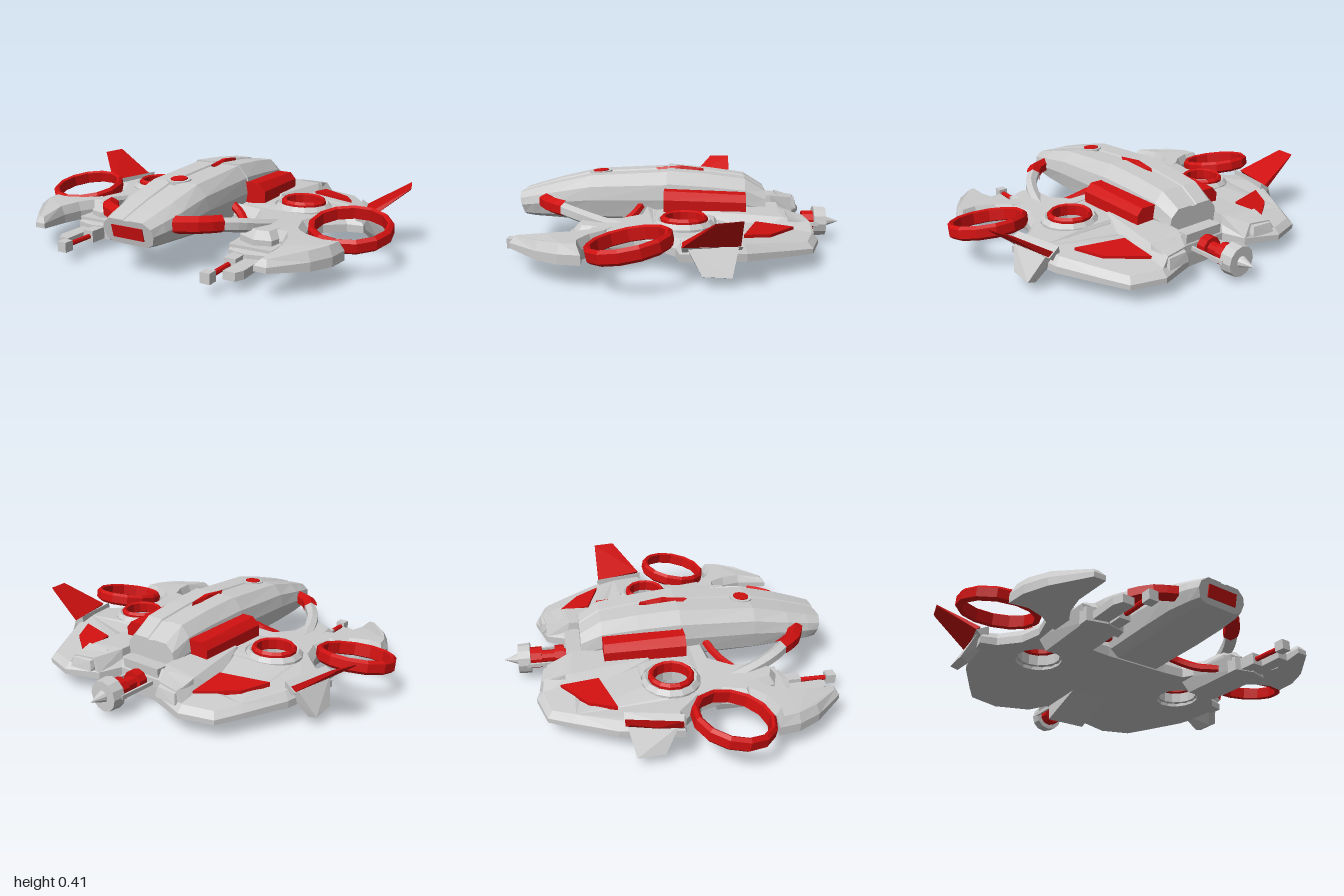
import * as THREE from 'three';
import { ConvexGeometry } from 'three/addons/geometries/ConvexGeometry.js';

const GREY = 0xcccccc, RED = 0xd01010;

export function createModel() {
  const model = new THREE.Group();
  const V = (x, y, z) => new THREE.Vector3(x, y, z);

  const add = (name, geo, color = GREY) => {
    if (geo.index) geo = geo.toNonIndexed();
    geo.computeVertexNormals();
    const mesh = new THREE.Mesh(geo, new THREE.MeshStandardMaterial({ color, flatShading: true }));
    mesh.name = name;
    model.add(mesh);
    return geo;
  };

  // Adds a part on the left and its mirror image on the right
  const pair = (name, geo, color) => {
    const m = add(name + 'Left', geo, color).clone().scale(-1, 1, 1);
    const a = m.attributes.position;
    for (let i = 0; i < a.count; i += 3) {
      const p = V().fromBufferAttribute(a, i + 1), q = V().fromBufferAttribute(a, i + 2);
      a.setXYZ(i + 1, q.x, q.y, q.z);
      a.setXYZ(i + 2, p.x, p.y, p.z);
    }
    add(name + 'Right', m, color);
  };

  const hull = (pts) => new ConvexGeometry(pts.map((p) => V(...p)));
  const box = (x0, x1, y0, y1, z0, z1) =>
    new THREE.BoxGeometry(x1 - x0, y1 - y0, z1 - z0).translate((x0 + x1) / 2, (y0 + y1) / 2, (z0 + z1) / 2);
  const rod = (r0, r1, z0, z1, x, y, n = 8) =>
    new THREE.CylinderGeometry(r1, r0, z1 - z0, n).rotateX(Math.PI / 2).translate(x, y, (z0 + z1) / 2);
  const tube = (pts, r, n = 10) =>
    new THREE.TubeGeometry(new THREE.CatmullRomCurve3(pts.map((p) => V(...p))), n, r, 6);
  const hoop = (ri, ro, h, n) => new THREE.LatheGeometry(
    [[ri, -h * 0.8], [(ri + ro) / 2, -h], [ro, -h * 0.6], [ro, h * 0.6], [(ri + ro) / 2, h], [ri, h * 0.8], [ri, -h * 0.8]]
      .map((p) => new THREE.Vector2(...p)), n);

  // Plan outline (x, z) raised between a bottom and a top surface, with a sloping rim
  const slab = (outline, holes, rim, bottom, top) => {
    const path = (pts) => pts.map(([x, z]) => new THREE.Vector2(x, -z));
    const shape = new THREE.Shape(path(outline));
    holes.forEach((h) => shape.holes.push(new THREE.Path(path(h))));
    const geo = new THREE.ExtrudeGeometry(shape, {
      depth: 0.5, bevelThickness: 0.5, bevelSize: rim, bevelOffset: -rim, bevelSegments: 1,
    }).rotateX(-Math.PI / 2);
    const a = geo.attributes.position;
    for (let i = 0; i < a.count; i++) {
      const x = Math.abs(a.getX(i)), z = a.getZ(i), t = Math.max(0, a.getY(i));
      a.setY(i, bottom(x, z) + t * (top(x, z) - bottom(x, z)));
    }
    return geo;
  };

  // Fuselage: cross-sections [z, half width, bottom, top, slant]
  const half = [[0.1, 0.97], [0.13, 1], [0.66, 1], [0.93, 0.78], [1, 0.5], [0.9, 0.14], [0.65, 0]];
  const ring = [...half, ...half.map(([u, v]) => [-u, v]).reverse()];
  const sections = [
    [-0.45, 0.155, 0.12, 0.295, 0], [-0.34, 0.17, 0.11, 0.362, 0], [-0.15, 0.18, 0.11, 0.387, 0],
    [0.07, 0.195, 0.12, 0.405, 0], [0.07, 0.188, 0.12, 0.398, 0], [0.47, 0.19, 0.135, 0.378, 0],
    [0.66, 0.182, 0.15, 0.335, 0], [0.78, 0.16, 0.155, 0.303, 0], [0.86, 0.14, 0.16, 0.28, 0.03],
  ];
  const pos = [], idx = [], n = ring.length;
  sections.forEach(([z, w, b, t, s], k) => {
    ring.forEach(([u, v]) => pos.push(u * w, b + v * (t - b), z + s * (v - 1)));
    for (let i = 0; k && i < n; i++) {
      const j = (i + 1) % n, p = (k - 1) * n, q = k * n;
      idx.push(p + i, q + i, q + j, p + i, q + j, p + j);
    }
  });
  const capTris = THREE.ShapeUtils.triangulateShape(
    ring.map(([u, v]) => new THREE.Vector2(u, v)).reverse(), []);
  const last = (sections.length - 1) * n;
  capTris.forEach(([a, b, c]) => {
    const [i, j, k] = [a, b, c].map((e) => n - 1 - e);
    idx.push(last + i, last + j, last + k, k, j, i);
  });
  const body = new THREE.BufferGeometry();
  body.setAttribute('position', new THREE.Float32BufferAttribute(pos, 3));
  body.setIndex(idx);
  add('fuselage', body);

  // Red trim on the fuselage
  add('nosePanel', hull([-0.085, 0.085].flatMap((x) => [[x, 0.19, 0.8], [x, 0.25, 0.8], [x, 0.19, 0.843], [x, 0.25, 0.858]])), RED);
  add('dorsalStrip', hull([[0, 0.37, -0.13], [0, 0.4, -0.12], [-0.018, 0.38, -0.04], [0.018, 0.38, -0.04],
    [-0.012, 0.412, 0], [0.012, 0.412, 0], [-0.018, 0.38, 0.1], [0.018, 0.38, 0.1], [0, 0.402, 0.14]]), RED);
  add('roofCollar', new THREE.CylinderGeometry(0.06, 0.062, 0.03, 12).rotateX(0.06).translate(0, 0.37, 0.435));
  add('roofLight', new THREE.CylinderGeometry(0.042, 0.045, 0.04, 12).rotateX(0.06).translate(0, 0.37, 0.435), RED);
  pair('sideIntake', hull([[0.15, 0.2, 0.08], [0.29, 0.22, 0.08], [0.29, 0.28, 0.08], [0.25, 0.32, 0.08], [0.15, 0.32, 0.08],
    [0.15, 0.2, -0.34], [0.27, 0.21, -0.34], [0.27, 0.265, -0.34], [0.24, 0.3, -0.34], [0.15, 0.3, -0.34]]), RED);

  // Wing plate with fan holes
  const wingTop = (x, z) => 0.237 - 0.07 * x - 0.15 * Math.max(0, -z - 0.2);
  const wingBottom = (x, z) => 0.11 + 0.04 * z;
  const leftEdge = [[0.18, 0.2], [0.3, 0.21], [0.36, 0.3], [0.36, 0.47], [0.45, 0.51], [0.53, 0.48], [0.55, 0.38],
    [0.62, 0.33], [0.587, 0.2], [0.62, 0.09], [0.71, 0.0], [0.79, -0.02], [0.76, -0.2], [0.73, -0.32],
    [0.62, -0.52], [0.55, -0.64], [0.38, -0.69], [0.19, -0.63], [0.13, -0.53]];
  const outline = [...leftEdge, ...leftEdge.map(([x, z]) => [-x, z]).reverse()];
  const circle = (cx, cz, r) => Array.from({ length: 14 }, (_, i) => {
    const a = (i / 14) * Math.PI * 2;
    return [cx + r * Math.cos(a), cz + r * Math.sin(a)];
  });
  add('wing', slab(outline, [circle(0.46, -0.03, 0.118), circle(-0.46, -0.03, 0.118)], 0.03, wingBottom, wingTop));

  // Rear humps, exhausts and red wing panels
  pair('rearHump', hull([[0.13, 0.12, 0.02], [0.33, 0.12, -0.02], [0.13, 0.23, -0.1], [0.29, 0.225, -0.12],
    [0.15, 0.22, -0.5], [0.34, 0.21, -0.52], [0.22, 0.195, -0.63], [0.34, 0.19, -0.65],
    [0.14, 0.12, -0.52], [0.39, 0.12, -0.66], [0.39, 0.15, -0.4], [0.19, 0.12, -0.63]]));
  pair('exhaust', hull([[0.22, 0.13, -0.66], [0.35, 0.13, -0.675], [0.23, 0.18, -0.65], [0.34, 0.18, -0.66],
    [0.21, 0.13, -0.55], [0.36, 0.13, -0.55], [0.21, 0.215, -0.54], [0.35, 0.215, -0.54]]));
  const panel = [[0.37, -0.57], [0.55, -0.44], [0.62, -0.31], [0.38, -0.38]];
  pair('wingPanel', hull(panel.flatMap(([x, z]) => [0.014, -0.03].map((d) => [x, wingTop(x, z) + d, z]))), RED);

  // Lift fans
  pair('fanCollar', hoop(0.108, 0.148, 0.055, 14).translate(0.46, 0.172, -0.03));
  pair('innerFanRing', hoop(0.09, 0.115, 0.033, 14).translate(0.46, 0.214, -0.03), RED);
  pair('outerFanRing', hoop(0.17, 0.2, 0.036, 13).rotateX(0.18).translate(0.8, 0.192, 0.2), RED);

  // Wing-tip claws ahead of the outer rings
  pair('tipClaw', slab([[0.5, 0.28], [0.6, 0.32], [0.67, 0.38], [0.76, 0.415], [0.85, 0.405], [0.835, 0.51], [0.78, 0.62],
    [0.65, 0.77], [0.59, 0.77], [0.615, 0.6], [0.595, 0.5], [0.56, 0.43], [0.5, 0.42]], [], 0.022,
  (x, z) => 0.108 + 0.1 * Math.max(0, z - 0.58), (x, z) => 0.2 - 0.12 * Math.max(0, z - 0.58)));

  // Side fins
  pair('upperFin', hull([[0.72, 0.19, -0.29], [0.79, 0.2, -0.03], [0.93, 0.32, -0.29], [0.97, 0.32, -0.17],
    [0.74, 0.165, -0.29], [0.81, 0.18, -0.03], [0.945, 0.335, -0.29], [0.975, 0.33, -0.17]]), RED);
  pair('finRoot', hull([[0.69, 0.21, -0.29], [0.75, 0.21, -0.02], [0.75, 0.17, -0.3], [0.81, 0.18, -0.03],
    [0.68, 0.11, -0.28], [0.74, 0.11, -0.03]]));
  pair('lowerFin', hull([[0.7, 0.15, -0.28], [0.76, 0.17, -0.28], [0.73, 0.15, -0.05], [0.79, 0.18, -0.05],
    [0.8, 0.045, -0.25], [0.84, 0.055, -0.25], [0.8, 0.045, -0.13], [0.84, 0.06, -0.12]]));

  // Front arms, cuffs and curved struts
  pair('frontArm', tube([[0.46, 0.17, 0.26], [0.42, 0.2, 0.4], [0.37, 0.225, 0.51], [0.29, 0.24, 0.61]], 0.034));
  pair('armCuff', tube([[0.32, 0.24, 0.57], [0.26, 0.245, 0.65], [0.15, 0.245, 0.71]], 0.042, 4), RED);
  pair('curvedStrut', tube([[0.16, 0.23, 0.2], [0.24, 0.19, 0.24], [0.31, 0.14, 0.32], [0.36, 0.1, 0.44]], 0.022), RED);

  // Gun pods under the wing
  pair('gunPylon', hull([[0.36, 0.05, 0.19], [0.54, 0.05, 0.19], [0.36, 0.055, 0.54], [0.54, 0.055, 0.54],
    [0.33, 0.14, 0.15], [0.57, 0.14, 0.15], [0.34, 0.14, 0.54], [0.56, 0.14, 0.54]]));
  pair('gunHousing', hull([[0.345, 0.045, 0.51], [0.555, 0.045, 0.51], [0.345, 0.13, 0.51], [0.555, 0.13, 0.51],
    [0.35, 0.05, 0.56], [0.55, 0.05, 0.56], [0.35, 0.12, 0.56], [0.55, 0.12, 0.56], [0.45, 0.05, 0.585], [0.45, 0.12, 0.585]]));
  pair('gunGuard', hull([0.06, 0.1].flatMap((y) => [[0.45, y, 0.55], [0.52, y, 0.55], [0.52, y, 0.72], [0.5, y, 0.765], [0.44, y, 0.765]])));
  pair('gunBody', box(0.38, 0.44, 0.055, 0.115, 0.56, 0.655));
  pair('gunBarrel', rod(0.013, 0.013, 0.64, 0.82, 0.405, 0.085), RED);
  pair('gunMuzzle', box(0.378, 0.428, 0.06, 0.11, 0.8, 0.85));

  // Tail mount and thruster
  add('tailMount', hull([-1, 1].flatMap((s) => [[s * 0.115, 0.18, -0.25], [s * 0.115, 0.1, -0.25],
    [s * 0.115, 0.005, -0.515], [s * 0.115, 0.19, -0.53]])));
  add('thrusterCore', rod(0.035, 0.035, -0.74, -0.5, 0, 0.11, 10), RED);
  [[-0.59, -0.54], [-0.72, -0.66]].forEach(([a, b]) => add('thrusterBand', rod(0.057, 0.057, a, b, 0, 0.11, 10), RED));
  pair('thrusterRod', box(0.072, 0.084, 0.1, 0.12, -0.74, -0.51));
  add('thrusterRing', rod(0.078, 0.082, -0.785, -0.72, 0, 0.11, 12));
  add('thrusterCone', rod(0.001, 0.032, -0.86, -0.78, 0, 0.11, 10));

  return model;
}
